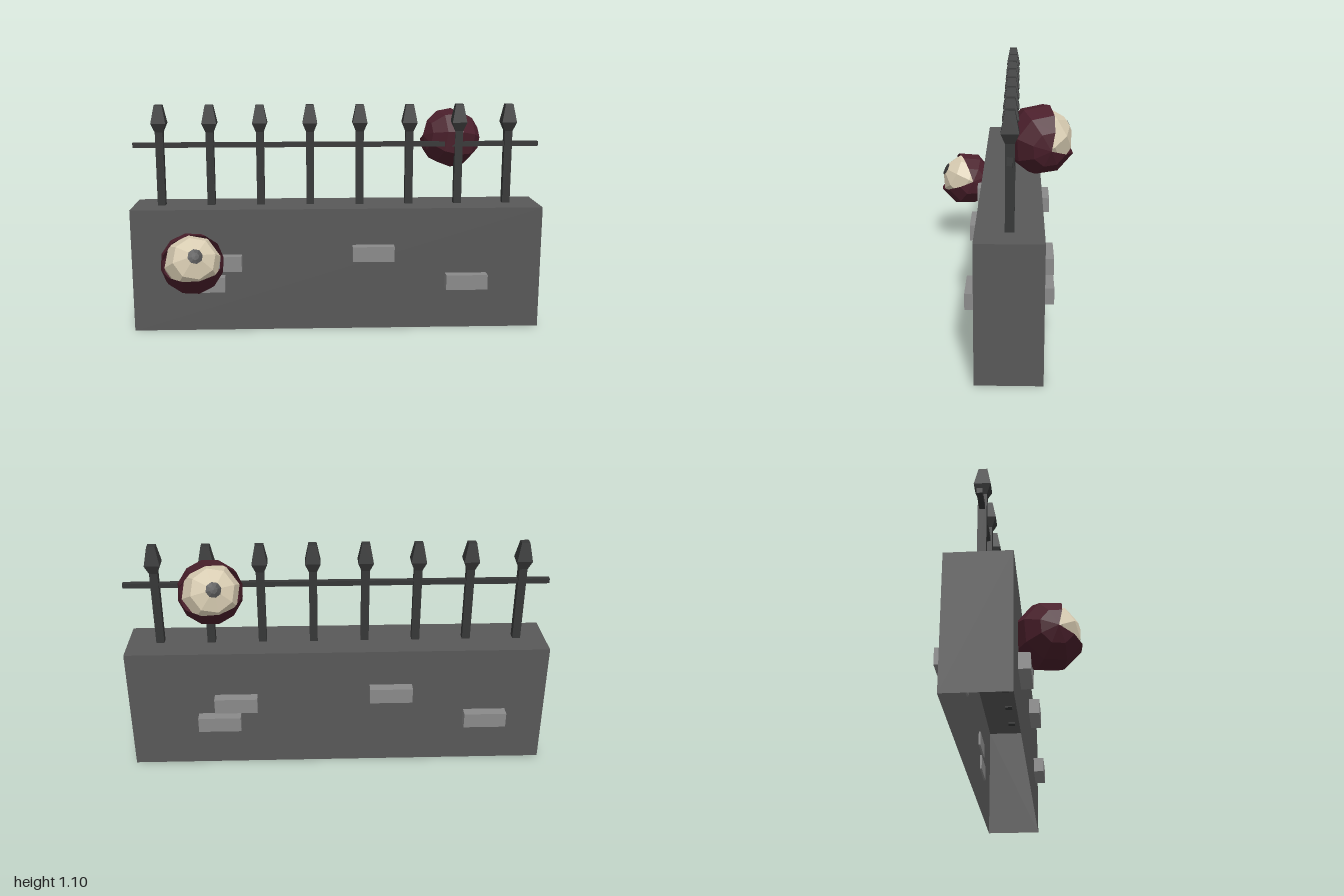
import * as THREE from 'three';

const mat = (name, color, extra = {}) => {
  const m = new THREE.MeshStandardMaterial({ color, flatShading: true, ...extra });
  m.name = name;
  return m;
};

export function createModel() {
  const stone = mat('dark stone', 0x585858, { side: THREE.DoubleSide });
  const brickMat = mat('light brick', 0x8a8a8a);
  const iron = mat('iron', 0x363737);
  const lidMat = mat('dark red lid', 0x4a1f2b, { side: THREE.DoubleSide });
  const white = mat('eye white', 0xd8ccb2);
  const pupilMat = mat('pupil', 0x3a3a3a);

  const model = new THREE.Group();
  const midZ = -0.075;
  const rad = THREE.MathUtils.degToRad;

  const add = (parent, name, geo, material, x = 0, y = 0, z = 0) => {
    const mesh = new THREE.Mesh(geo, material);
    mesh.name = name;
    mesh.position.set(x, y, z);
    parent.add(mesh);
    return mesh;
  };

  // Wall: a box with an open underside
  const wallGeo = new THREE.BoxGeometry(2, 0.605, 0.281);
  const idx = Array.from(wallGeo.index.array);
  idx.splice(18, 6);
  wallGeo.setIndex(idx);
  wallGeo.clearGroups();
  add(model, 'wall', wallGeo, stone, 0, 0.3025, midZ);

  // Protruding bricks, repeated half a turn round on the back
  const brickGeo = new THREE.BoxGeometry(0.203, 0.074, 0.06);
  for (const [x, y] of [[-0.65, 0.243], [-0.567, 0.346], [0.172, 0.389], [0.63, 0.243]]) {
    add(model, 'frontBrick', brickGeo, brickMat, x, y, 0.087);
    add(model, 'backBrick', brickGeo, brickMat, -x - 0.08, y + 0.002, -0.236);
  }

  // Railings: square posts with faceted spear heads
  const s = Math.SQRT1_2;
  const headGeo = new THREE.LatheGeometry([
    [0, 0.96], [0.038 * s, 0.965], [0.072 * s, 1.008], [0.038 * s, 1.096], [0, 1.096],
  ].map(([r, y]) => new THREE.Vector2(r, y)), 4, Math.PI / 4);
  const postGeo = new THREE.BoxGeometry(0.038, 0.37, 0.038);
  for (let i = 0; i < 8; i++) {
    const railing = new THREE.Group();
    railing.name = 'railing';
    railing.position.set(-0.864 + i * 0.2442, 0, midZ);
    add(railing, 'post', postGeo, iron, 0, 0.785, 0);
    // The lathe profile is given as half diagonals, so scale to half widths
    add(railing, 'spearHead', headGeo, iron);
    model.add(railing);
  }
  add(model, 'rail', new THREE.BoxGeometry(1.99, 0.024, 0.024), iron, 0, 0.901, midZ);

  // Eyes: faceted ball, pupil cap and a lid shell hinged at the two corners
  const ballGeo = new THREE.SphereGeometry(0.136, 8, 5, 0, Math.PI * 2, 0.26, Math.PI - 0.26).rotateX(Math.PI / 2);
  const pupilGeo = new THREE.SphereGeometry(0.1365, 8, 1, 0, Math.PI * 2, 0, 0.265).rotateX(Math.PI / 2);
  const lidGeo = new THREE.SphereGeometry(0.15, 6, 6, rad(138), rad(264)).rotateZ(Math.PI / 2);
  const addEye = (name, x, y, z, turn) => {
    const eye = new THREE.Group();
    eye.name = name;
    eye.position.set(x, y, z);
    eye.rotation.set(rad(-28), rad(turn + 14), rad(8), 'YXZ');
    add(eye, 'eyeball', ballGeo, white);
    add(eye, 'pupil', pupilGeo, pupilMat);
    add(eye, 'eyelids', lidGeo, lidMat);
    model.add(eye);
  };
  addEye('frontEye', -0.692, 0.375, 0.189, 0);
  addEye('backEye', 0.577, 0.917, -0.197, 180);

  return model;
}
